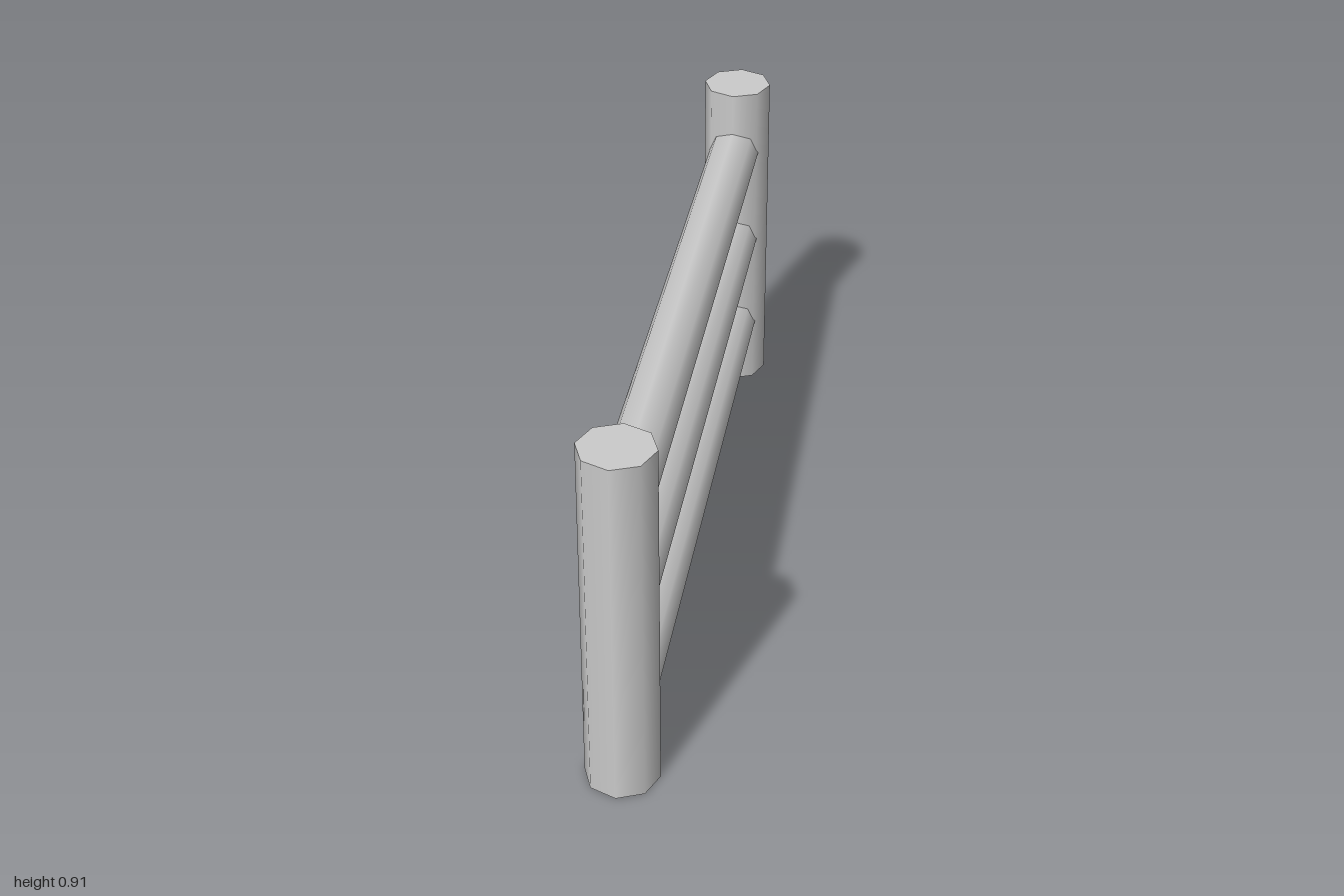
import * as THREE from 'three';

const HEIGHT = 0.91;
const POST_Z = 0.91;
const POST_RADIUS = 0.09;
const RAIL_RADIUS = 0.068;
const SIDES = 8;

export function createModel() {
  const group = new THREE.Group();
  group.name = 'fence';
  const material = new THREE.MeshStandardMaterial({ color: 0xcccccc });

  // Upright posts at the front and back ends
  const postGeometry = new THREE.CylinderGeometry(POST_RADIUS, POST_RADIUS, HEIGHT, SIDES);
  for (const [name, side] of [['frontPost', 1], ['backPost', -1]]) {
    const post = new THREE.Mesh(postGeometry, material);
    post.name = name;
    post.position.set(0, HEIGHT / 2, side * POST_Z);
    group.add(post);
  }

  // Three horizontal rails running between the post centres
  const railGeometry = new THREE.CylinderGeometry(RAIL_RADIUS, RAIL_RADIUS, POST_Z * 2, SIDES);
  railGeometry.rotateX(Math.PI / 2);
  ['lowerRail', 'middleRail', 'upperRail'].forEach((name, i) => {
    const rail = new THREE.Mesh(railGeometry, material);
    rail.name = name;
    rail.position.y = HEIGHT * (0.2 + 0.3 * i);
    group.add(rail);
  });

  return group;
}
